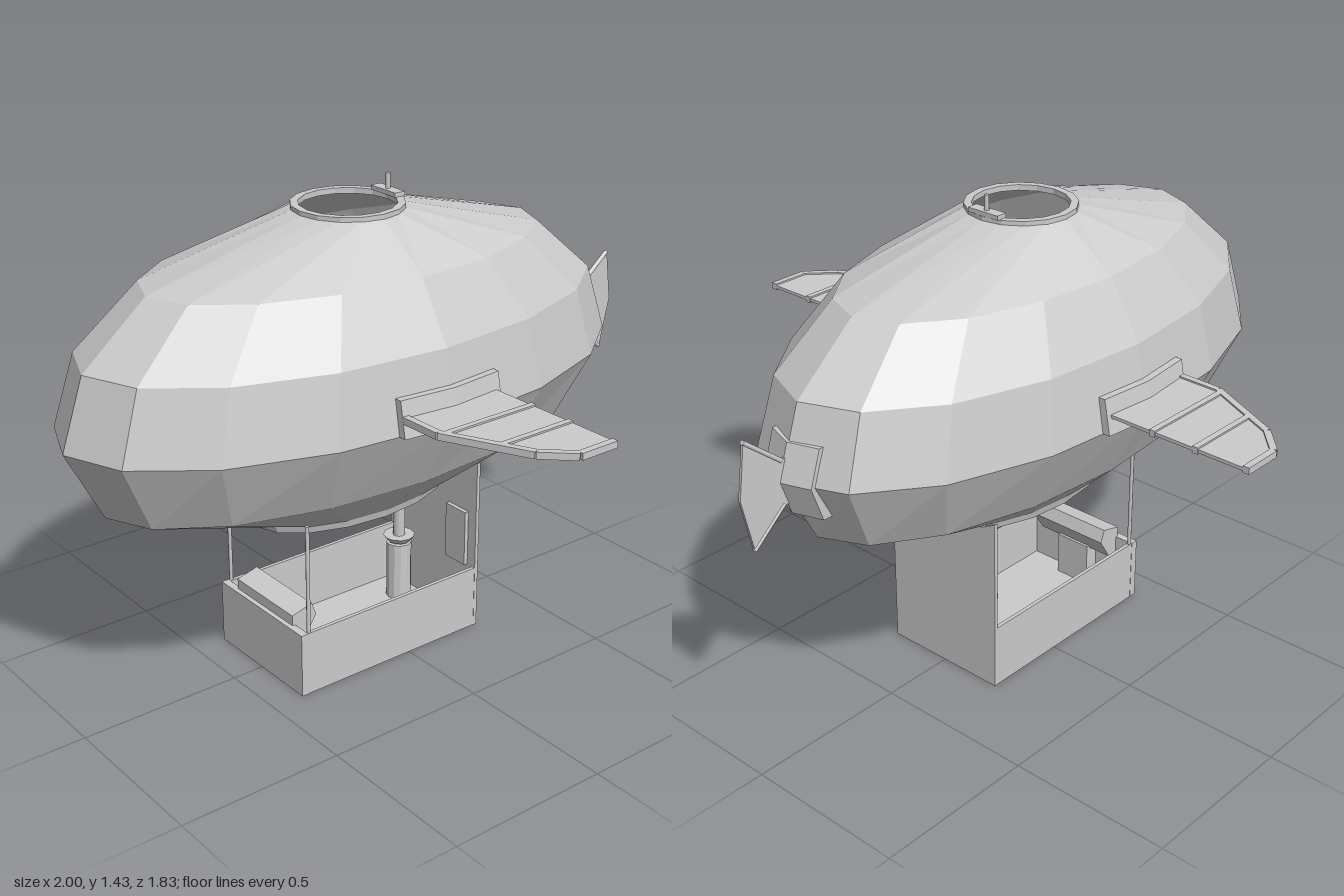
import * as THREE from 'three';

const CX = -0.07; // hull centre along x
const V = (x, y, z) => new THREE.Vector3(x, y, z);

export function createModel() {
  const model = new THREE.Group();
  const flat = new THREE.MeshStandardMaterial({ color: 0xcccccc, flatShading: true, side: THREE.DoubleSide });
  const smooth = new THREE.MeshStandardMaterial({ color: 0xcccccc, side: THREE.DoubleSide });

  function add(name, geometry, material = flat, parent = model) {
    const mesh = new THREE.Mesh(geometry, material);
    mesh.name = name;
    parent.add(mesh);
    return mesh;
  }
  function box(name, x0, x1, y0, y1, z0, z1, parent = model) {
    const m = add(name, new THREE.BoxGeometry(x1 - x0, y1 - y0, z1 - z0), flat, parent);
    m.position.set((x0 + x1) / 2, (y0 + y1) / 2, (z0 + z1) / 2);
    return m;
  }
  function rod(name, a, b, r, parent = model) {
    const m = add(name, new THREE.CylinderGeometry(r, r, a.distanceTo(b), 8), smooth, parent);
    m.position.copy(a).lerp(b, 0.5);
    m.quaternion.setFromUnitVectors(V(0, 1, 0), b.clone().sub(a).normalize());
    return m;
  }
  // Skin stacked rings of points; capped adds fans at both ends
  function loft(rings, capped = false) {
    const n = rings[0].length, index = [];
    for (let i = 0; i < rings.length - 1; i++) {
      for (let j = 0; j < n; j++) {
        const a = i * n + j, b = i * n + (j + 1) % n;
        index.push(a, a + n, b, b, a + n, b + n);
      }
    }
    if (capped) {
      const e = (rings.length - 1) * n;
      for (let j = 1; j < n - 1; j++) index.push(0, j, j + 1, e, e + j + 1, e + j);
    }
    const g = new THREE.BufferGeometry().setFromPoints(rings.flat());
    g.setIndex(index);
    g.computeVertexNormals();
    return g;
  }
  // Sixteen-sided elliptical ring, ordered so that upward lofts face outwards
  const ring = (y, rx, rz) => Array.from({ length: 16 }, (_, i) => {
    const t = i * Math.PI / 8;
    return V(CX + rx * Math.cos(t), y, rz * Math.sin(t));
  });
  // Flat outline extruded by depth, centred on its plane
  function plate(points, depth) {
    const s = new THREE.Shape(points.map(p => new THREE.Vector2(...p)));
    return new THREE.ExtrudeGeometry(s, { depth, bevelEnabled: false }).translate(0, 0, -depth / 2);
  }

  // Envelope, open at top and bottom
  add('hull', loft([
    ring(0.49, 0.34, 0.18), ring(0.65, 0.82, 0.355), ring(0.865, 0.93, 0.466),
    ring(1.07, 0.86, 0.43), ring(1.24, 0.66, 0.328), ring(1.365, 0.16, 0.16),
  ]));
  add('topRim', loft([
    ring(1.36, 0.14, 0.14), ring(1.36, 0.163, 0.163), ring(1.377, 0.163, 0.163),
    ring(1.377, 0.14, 0.14), ring(1.36, 0.14, 0.14),
  ]));
  add('bottomRim', loft([
    ring(0.47, 0.29, 0.145), ring(0.47, 0.335, 0.178), ring(0.495, 0.345, 0.185),
    ring(0.495, 0.29, 0.145), ring(0.47, 0.29, 0.145),
  ]));

  // Small latch and pin on the top rim
  box('rimLatch', 0.055, 0.09, 1.377, 1.39, -0.055, 0.055);
  rod('rimPin', V(0.073, 1.37, 0), V(0.073, 1.435, 0), 0.007);

  // Side fins with leading edge, ribs and a mount that follows the hull
  const outline = [[-0.235, 0.44], [-0.232, 0.59], [-0.115, 0.83], [-0.035, 0.905], [0.09, 0.905]];
  for (const side of [1, -1]) {
    const fin = new THREE.Group();
    fin.name = side > 0 ? 'frontFin' : 'rearFin';
    model.add(fin);
    const web = add('finPanel', plate([...outline.map(([x, z]) => [x, z * side]), [0.085, 0.44 * side]], 0.01), flat, fin);
    web.rotation.x = Math.PI / 2;
    web.position.y = 0.917;
    for (let i = 0; i < outline.length - 1; i++) {
      const [x0, z0] = outline[i], [x1, z1] = outline[i + 1];
      const edge = box('finEdge', -0.01, 0.01, -0.01, 0.01, 0, Math.hypot(x1 - x0, z1 - z0), fin);
      edge.position.set((x0 + x1) / 2, 0.917, side * (z0 + z1) / 2);
      edge.rotation.y = Math.atan2(x1 - x0, side * (z1 - z0));
    }
    for (const [z, x] of [[0.605, -0.22], [0.745, -0.155]]) {
      box('finRib', x, 0.09, 0.907, 0.927, side * z - 0.009, side * z + 0.009, fin);
    }
    add('finMount', loft([[-0.245, 0.445], [CX, 0.462], [0.1, 0.445]].map(([x, z]) => [
      V(x, 0.865, side * (z - 0.01)), V(x, 0.865, side * (z + 0.027)),
      V(x, 0.97, side * (z + 0.007)), V(x, 0.97, side * (z - 0.03)),
    ]), true), flat, fin);
  }

  // Tail mount, creased both ways, and the tail fin
  add('tailMount', loft([[-0.09, 0.82], [0, 0.85], [0.09, 0.82]].map(([z, x]) => [
    V(x - 0.05, 0.76, z), V(x - 0.02, 0.76, z), V(x + 0.017, 0.865, z),
    V(x - 0.018, 0.97, z), V(x - 0.05, 0.97, z), V(x - 0.02, 0.865, z),
  ]), true));
  const tail = [[0.835, 0.93], [0.86, 0.93], [0.975, 1.025], [0.998, 0.865], [0.963, 0.705], [0.86, 0.795], [0.835, 0.795]];
  add('tailFin', plate(tail, 0.008));
  for (const [x, y] of [[0.975, 1.025], [0.963, 0.705]]) {
    rod('tailFinEdge', V(0.855, y > 0.865 ? 0.925 : 0.798, 0), V(x, y, 0), 0.007);
  }

  // Open gondola
  const gondola = new THREE.Group();
  gondola.name = 'gondola';
  model.add(gondola);
  box('floor', -0.4, 0.27, 0, 0.01, -0.2, 0.2, gondola);
  for (const s of [1, -1]) {
    const z = s * 0.198;
    box('sideWall', -0.38, 0.262, 0, 0.2, z - 0.006, z + 0.006, gondola);
    rod('suspensionRod', V(-0.37, 0.19, z), V(-0.37, 0.54, z), 0.006, gondola);
  }
  box('endWall', -0.4, -0.376, 0, 0.2, -0.205, 0.205, gondola);
  // Tall end panel with a hollowed top that meets the hull
  const panel = new THREE.Shape();
  panel.moveTo(-0.205, 0);
  panel.lineTo(0.205, 0);
  panel.lineTo(0.205, 0.555);
  panel.quadraticCurveTo(0, 0.435, -0.205, 0.555);
  const end = add('tallEndPanel', new THREE.ExtrudeGeometry(panel, { depth: 0.012, bevelEnabled: false, curveSegments: 10 }), flat, gondola);
  end.rotation.y = Math.PI / 2;
  end.position.x = 0.258;
  box('wallBox', 0.245, 0.26, 0.2, 0.38, 0.08, 0.17, gondola);

  // Sloping control desk on a pedestal
  const desk = add('controlDesk', plate([[-0.385, 0.14], [-0.385, 0.232], [-0.315, 0.25], [-0.3, 0.21], [-0.345, 0.14]], 0.28), flat, gondola);
  desk.position.z = 0;
  box('deskPedestal', -0.376, -0.33, 0.01, 0.15, -0.06, 0.06, gondola);

  // Gas pipe with rounded bends, burner and cross rods in the bottom opening
  const pts = [V(0.19, 0.02, -0.08), V(0.19, 0.45, -0.08), V(-0.035, 0.45, -0.08), V(-0.035, 0.45, 0), V(-0.035, 0.52, 0)];
  const path = new THREE.CurvePath();
  let from = pts[0];
  for (let i = 1; i < pts.length - 1; i++) {
    const a = pts[i].clone().add(pts[i - 1].clone().sub(pts[i]).setLength(0.03));
    const b = pts[i].clone().add(pts[i + 1].clone().sub(pts[i]).setLength(0.03));
    path.add(new THREE.LineCurve3(from, a));
    path.add(new THREE.QuadraticBezierCurve3(a, pts[i], b));
    from = b;
  }
  path.add(new THREE.LineCurve3(from, pts[pts.length - 1]));
  add('gasPipe', new THREE.TubeGeometry(path, 90, 0.019, 10), smooth);
  const tank = add('gasTank', new THREE.CylinderGeometry(0.04, 0.04, 0.19, 12), flat);
  tank.position.set(0.19, 0.105, -0.08);
  const flange = add('pipeFlange', new THREE.CylinderGeometry(0.05, 0.035, 0.02, 12), flat);
  flange.position.set(0.19, 0.215, -0.08);
  box('burnerPlate', -0.105, 0.015, 0.51, 0.525, -0.05, 0.05);
  box('burnerNozzle', -0.068, -0.022, 0.52, 0.56, -0.023, 0.023);
  rod('crossRod', V(-0.045, 0.485, -0.165), V(-0.045, 0.485, 0.165), 0.009);
  rod('longRod', V(-0.39, 0.485, 0), V(0.25, 0.485, 0), 0.009);
  return model;
}
